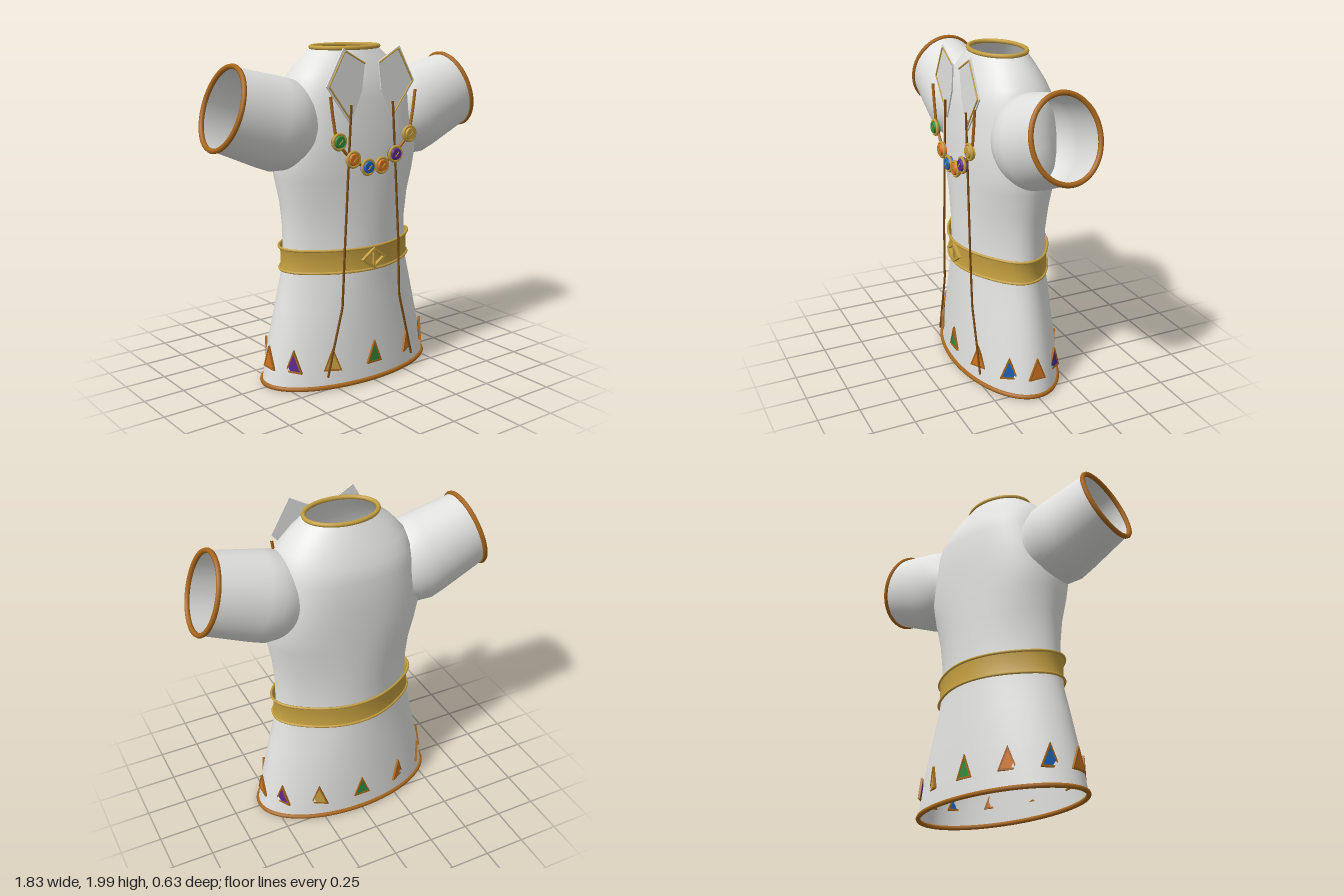
import * as THREE from 'three';

const mat = (name, color, side = THREE.FrontSide) => {
  const m = new THREE.MeshStandardMaterial({ color, side });
  m.name = name;
  return m;
};

// Closed cross-section: separate front and back depth, and a pinch at the diagonals
function section([y, rx, zf, zb, pinch = 0], n = 64) {
  return Array.from({ length: n }, (_, i) => {
    const t = (i / n) * Math.PI * 2;
    const k = 1 - (pinch * (1 - Math.cos(4 * t))) / 2;
    const c = Math.cos(t);
    return new THREE.Vector3(rx * Math.sin(t) * k, y, (c > 0 ? zf : zb) * c * k);
  });
}

// Open skin through a stack of cross-sections
function loft(rows, n = 64) {
  const pos = [], idx = [];
  rows.forEach((row, r) => {
    section(row, n).forEach(p => pos.push(p.x, p.y, p.z));
    if (r === rows.length - 1) return;
    for (let i = 0; i < n; i++) {
      const a = r * n + i, b = r * n + ((i + 1) % n);
      idx.push(a, b, a + n, b, b + n, a + n);
    }
  });
  const g = new THREE.BufferGeometry();
  g.setAttribute('position', new THREE.Float32BufferAttribute(pos, 3));
  g.setIndex(idx);
  g.computeVertexNormals();
  return g;
}

// Round piping that follows a cross-section
const piping = (row, r) => new THREE.TubeGeometry(
  new THREE.CatmullRomCurve3(section(row, 32), true), 96, r, 8, true);

const polygon = pts => new THREE.Shape(pts.map(p => new THREE.Vector2(p[0], p[1])));

// Flat plate, optionally with the scaled outline cut out of it
function plate(pts, depth, hole) {
  const s = polygon(pts);
  if (hole) s.holes.push(polygon(hole));
  return new THREE.ExtrudeGeometry(s, { depth, bevelEnabled: false });
}

// Cord through straight segments
function cordGeometry(pts, r, smooth) {
  const v = pts.map(p => new THREE.Vector3(...p));
  let curve;
  if (smooth) curve = new THREE.CatmullRomCurve3(v);
  else {
    curve = new THREE.CurvePath();
    for (let i = 1; i < v.length; i++) curve.add(new THREE.LineCurve3(v[i - 1], v[i]));
  }
  return new THREE.TubeGeometry(curve, 48, r, 6);
}

export function createModel() {
  const cloth = mat('white cloth', 0xe2e2e0, THREE.DoubleSide);
  const gold = mat('gold', 0xc49f40, THREE.DoubleSide);
  const bronze = mat('bronze trim', 0xa8661c);
  const cord = mat('dark cord', 0x7a4a12);
  const green = mat('green', 0x2f8a3a);
  const orange = mat('orange', 0xd8741f);
  const blue = mat('blue', 0x1f62b8);
  const purple = mat('purple', 0x5e2a94);
  const gems = [green, orange, blue, orange, purple, gold];

  const model = new THREE.Group();
  model.name = 'tunic';
  const add = (name, geo, m, parent = model) => {
    const mesh = new THREE.Mesh(geo, m);
    mesh.name = name;
    parent.add(mesh);
    return mesh;
  };

  // Body, open at hem and neck
  add('body', loft([
    [0.02, 0.58, 0.295, 0.3, 0], [0.25, 0.54, 0.285, 0.295, 0.01], [0.5, 0.485, 0.275, 0.282, 0.04],
    [0.65, 0.45, 0.268, 0.272, 0.06], [0.78, 0.432, 0.265, 0.265, 0.07], [0.95, 0.43, 0.265, 0.268, 0.06],
    [1.1, 0.442, 0.266, 0.274, 0.03], [1.25, 0.47, 0.268, 0.28, -0.01], [1.38, 0.485, 0.268, 0.284, -0.04],
    [1.52, 0.455, 0.262, 0.286, -0.06], [1.68, 0.415, 0.248, 0.284, -0.07], [1.76, 0.4, 0.236, 0.262, -0.06],
    [1.83, 0.372, 0.218, 0.235, -0.04], [1.91, 0.3, 0.188, 0.195, -0.02], [1.98, 0.215, 0.152, 0.155, 0],
  ]), cloth);
  add('hemTrim', piping([0.02, 0.58, 0.297, 0.302], 0.014), bronze);
  add('neckTrim', piping([1.985, 0.217, 0.153, 0.155], 0.013), gold);

  // Flared sleeves, tilted up and out
  for (const side of [1, -1]) {
    const mount = new THREE.Group();
    mount.name = side > 0 ? 'leftSleeve' : 'rightSleeve';
    if (side < 0) mount.rotation.y = Math.PI;
    const sleeve = new THREE.Group();
    sleeve.position.set(0.825, 1.685, 0);
    sleeve.rotation.z = -1.249;
    mount.add(sleeve);
    model.add(mount);
    add('sleeve', loft([
      [-0.53, 0.2, 0.19, 0.19], [-0.46, 0.245, 0.215, 0.215], [-0.384, 0.268, 0.235, 0.235],
      [-0.3, 0.264, 0.23, 0.23], [0, 0.235, 0.2, 0.2],
    ], 48), cloth, sleeve);
    add('cuffTrim', piping([0, 0.235, 0.2, 0.2], 0.015), bronze, sleeve);
  }

  // Belt with rolled edges
  const beltRows = [
    [0.705, 0.452, 0.283, 0.28, 0.06], [0.74, 0.444, 0.278, 0.274, 0.06],
    [0.8, 0.444, 0.278, 0.274, 0.06], [0.84, 0.456, 0.283, 0.276, 0.06],
  ];
  add('belt', loft(beltRows), gold);
  add('beltLowerEdge', piping(beltRows[0], 0.008), gold);
  add('beltUpperEdge', piping(beltRows[3], 0.008), gold);

  // Diamond buckle with a central bar
  const diamond = k => [[-0.09 * k, 0], [0, -0.065 * k], [0.09 * k, 0], [0, 0.065 * k]];
  const buckle = new THREE.Group();
  buckle.name = 'buckle';
  buckle.position.set(0, 0.772, 0.277);
  model.add(buckle);
  add('buckleFrame', plate(diamond(1), 0.02, diamond(0.72)), gold, buckle);
  add('buckleBar', new THREE.BoxGeometry(0.012, 0.1, 0.016), gold, buckle).position.z = 0.01;

  // Collar flaps with piping, and the long front cords
  for (const s of [1, -1]) {
    let flap = [[0.2, 1.995], [0.05, 1.91], [0.07, 1.75], [0.15, 1.57], [0.315, 1.79]];
    flap = flap.map(([x, y]) => [x * s, y]);
    add('collarFlap', plate(flap, 0.008), cloth).position.z = 0.247;
    add('collarPiping', cordGeometry([
      [0.05 * s, 1.905, 0.257], [0.19 * s, 1.98, 0.257], [0.3 * s, 1.79, 0.257], [0.155 * s, 1.6, 0.257],
    ], 0.005), gold);
    add('frontCord', cordGeometry([
      [0.15 * s, 1.68, 0.262], [0.175 * s, 1.27, 0.265], [0.2 * s, 0.85, 0.268],
      [0.215 * s, 0.5, 0.265], [0.28 * s, 0.25, 0.264], [0.32 * s, 0.09, 0.264],
    ], 0.007), cord);
  }

  // Necklace cord and beads
  const beads = [[-0.255, 1.485], [-0.155, 1.375], [-0.05, 1.32], [0.05, 1.32], [0.15, 1.375], [0.255, 1.485]];
  add('necklaceCord', cordGeometry(
    [[-0.305, 1.74], [-0.285, 1.6], ...beads, [0.285, 1.6], [0.305, 1.74]].map(([x, y]) => [x, y, 0.277]),
    0.009, true), bronze);
  beads.forEach(([x, y], i) => {
    const bead = new THREE.Group();
    bead.name = 'bead';
    bead.position.set(x, y, 0.29);
    model.add(bead);
    const disc = new THREE.CylinderGeometry(0.032, 0.044, 0.035, 24).rotateX(Math.PI / 2);
    add('beadDisc', disc, gems[i], bead);
    add('beadRim', new THREE.TorusGeometry(0.043, 0.009, 8, 28), gold, bead);
    const bar = add('beadBar', new THREE.BoxGeometry(0.036, 0.006, 0.006), gold, bead);
    bar.position.z = 0.018;
    bar.rotation.z = 0.8;
  });

  // Twelve framed triangles around the hem
  const triangle = k => [[-0.055 * k, -0.047 * k], [0.055 * k, -0.047 * k], [0, 0.094 * k]];
  for (let i = 0; i < 12; i++) {
    const a = (i * Math.PI) / 6;
    const patch = new THREE.Group();
    patch.name = 'hemTriangle';
    patch.position.set(0.558 * Math.sin(a), 0.168, 0.297 * Math.cos(a));
    patch.rotation.y = a;
    model.add(patch);
    add('triangleFrame', plate(triangle(1), 0.014, triangle(0.76)), bronze, patch).position.z = -0.007;
    add('triangleInset', plate(triangle(0.78), 0.008), gems[i % 6], patch).position.z = -0.004;
  }
  return model;
}
